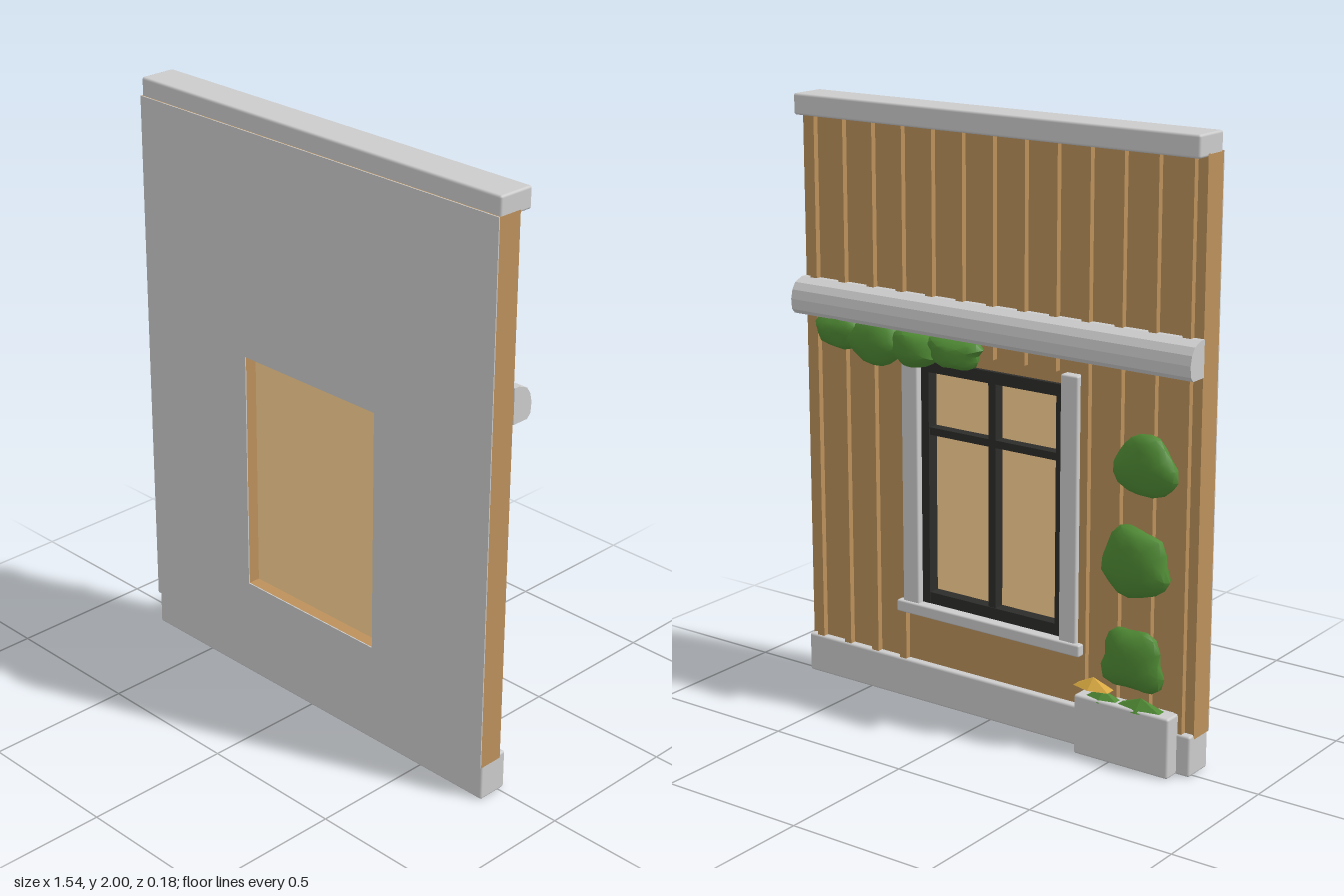
import * as THREE from 'three';
import { toCreasedNormals } from 'three/addons/utils/BufferGeometryUtils.js';
import { RoundedBoxGeometry } from 'three/addons/geometries/RoundedBoxGeometry.js';

export function createModel() {
  const model = new THREE.Group();
  const mat = (color) => new THREE.MeshStandardMaterial({ color });
  const grey = mat(0xcccccc), wood = mat(0xbb905b), dark = mat(0x2c2c2a);
  const glow = mat(0xffd494), green = mat(0x4f8a34), yellow = mat(0xd8a840);

  const add = (name, geometry, material, parent = model) => {
    const mesh = new THREE.Mesh(geometry, material);
    mesh.name = name;
    parent.add(mesh);
    return mesh;
  };
  const group = (name) => {
    const g = new THREE.Group();
    g.name = name;
    model.add(g);
    return g;
  };
  // Box given by its limits on each axis, with an optional small bevel
  const box = (name, [x0, x1], [y0, y1], [z0, z1], material, parent, bevel = 0) => {
    const size = [x1 - x0, y1 - y0, z1 - z0];
    const geo = bevel ? new RoundedBoxGeometry(...size, 2, bevel) : new THREE.BoxGeometry(...size);
    add(name, geo, material, parent).position.set((x0 + x1) / 2, (y0 + y1) / 2, (z0 + z1) / 2);
  };

  // Wall layers with the window opening cut through
  const layer = (name, z0, z1, material) => {
    const rect = (Type, x, y0, y1) => new Type([[-x, y0], [x, y0], [x, y1], [-x, y1]]
      .map(([a, b]) => new THREE.Vector2(a, b)));
    const shape = rect(THREE.Shape, 0.767, 0.12, 1.94);
    shape.holes.push(rect(THREE.Path, 0.29, 0.35, 1.18));
    const geo = new THREE.ExtrudeGeometry(shape, { depth: z1 - z0, bevelEnabled: false });
    add(name, geo.translate(0, 0, z0), material);
  };
  layer('timberWall', 0, 0.086, wood);
  layer('plasterFace', 0.086, 0.09, grey);

  // Plinth and coping
  box('plinth', [-0.767, 0.767], [0, 0.135], [-0.025, 0.083], grey, model, 0.008);
  box('coping', [-0.767, 0.767], [1.93, 2], [-0.047, 0.083], grey, model, 0.008);

  // Vertical battens on the back, cut short around the window
  const battens = group('battens');
  for (let i = -6; i <= 6; i++) {
    const x = i * 0.12;
    const bottom = Math.abs(i) < 3 ? 1.22 : 0.13;
    box('batten', [x - 0.014, x + 0.014], [bottom, 1.94], [-0.02, 0.002], wood, battens);
  }

  // Window: pane, dark frame and bars, side posts and sill
  const win = group('window');
  box('pane', [-0.29, 0.29], [0.35, 1.18], [0.03, 0.045], glow, win);
  for (const s of [-1, 1]) {
    const span = (a, b) => [Math.min(s * a, s * b), Math.max(s * a, s * b)];
    box('frameSide', span(0.25, 0.289), [0.351, 1.179], [-0.012, 0.03], dark, win);
    box('sidePost', span(0.28, 0.345), [0.34, 1.22], [-0.035, 0.002], grey, win, 0.006);
  }
  box('frameBottom', [-0.289, 0.289], [0.351, 0.39], [-0.011, 0.03], dark, win);
  box('frameTop', [-0.289, 0.289], [1.14, 1.179], [-0.011, 0.03], dark, win);
  box('verticalBar', [-0.014, 0.014], [0.36, 1.17], [-0.008, 0.03], dark, win);
  box('crossBar', [-0.28, 0.28], [0.93, 0.955], [-0.007, 0.03], dark, win);
  box('sill', [-0.365, 0.365], [0.31, 0.35], [-0.045, 0.002], grey, win, 0.006);

  // Rounded ledge running across the back
  const profile = [[0, 1.275], [0.06, 1.275], [0.074, 1.29], [0.077, 1.325], [0.07, 1.355],
    [0.055, 1.378], [0.02, 1.392], [0, 1.392]].map(([a, b]) => new THREE.Vector2(a, b));
  const ledge = new THREE.ExtrudeGeometry(new THREE.Shape(profile), { depth: 1.54, bevelEnabled: false });
  add('ledge', ledge.rotateY(Math.PI / 2).translate(-0.77, 0, 0), grey);

  // Lumpy foliage: a sphere pushed in and out by a smooth rule, narrower at one end
  const clump = (name, x, y, rx, ry, rz, seed, taper, parent) => {
    const geo = new THREE.IcosahedronGeometry(1, 2);
    const p = geo.attributes.position;
    const v = new THREE.Vector3();
    for (let i = 0; i < p.count; i++) {
      v.fromBufferAttribute(p, i);
      const bump = 1 + 0.09 * Math.sin(4 * v.x + seed) * Math.cos(3 * v.y + 2 * seed) + 0.04 * Math.sin(7 * v.y + seed);
      // Squared-off outline
      const fill = 1 + 0.22 * Math.abs(v.x * v.y);
      p.setXYZ(i, v.x * rx * bump * fill * (1 - taper * v.y), v.y * ry * bump * fill, v.z * rz * bump);
    }
    add(name, toCreasedNormals(geo, 0.7), green, parent).position.set(x, y, -0.028);
  };

  const hanging = group('hangingFoliage');
  [[0.61, 1.235, 0.085, 0.06], [0.45, 1.215, 0.105, 0.07], [0.29, 1.215, 0.09, 0.06], [0.13, 1.225, 0.1, 0.055]]
    .forEach(([x, y, rx, ry], i) => clump('leafClump', x, y, rx, ry, 0.05, i * 1.7, -0.1, hanging));

  const climber = group('climbingPlant');
  [[-0.59, 0.98, 0.105, 0.09, 0.04], [-0.565, 0.665, 0.115, 0.11, 0.047], [-0.555, 0.345, 0.11, 0.105, 0.043]]
    .forEach(([x, y, rx, ry, rz], i) => clump('leafClump', x, y, rx, ry, rz, 2 + i * 1.3, 0.15, climber));

  // Planter with low leaves and a flower
  const planter = group('planter');
  box('planterBox', [-0.72, -0.37], [0, 0.2], [-0.078, -0.01], grey, planter, 0.008);
  const tuft = (name, x, y, rx, h, rz, z, material) => {
    const geo = new THREE.ConeGeometry(1, 1, 6).toNonIndexed();
    geo.computeVertexNormals();
    const mesh = add(name, geo, material, planter);
    mesh.scale.set(rx, h, rz);
    mesh.position.set(x, y, z);
  };
  tuft('lowLeaves', -0.6, 0.212, 0.11, 0.04, 0.037, -0.045, green);
  tuft('lowLeaves', -0.46, 0.21, 0.08, 0.035, 0.035, -0.045, green);
  tuft('flower', -0.43, 0.248, 0.075, 0.035, 0.036, -0.056, yellow);
  return model;
}
